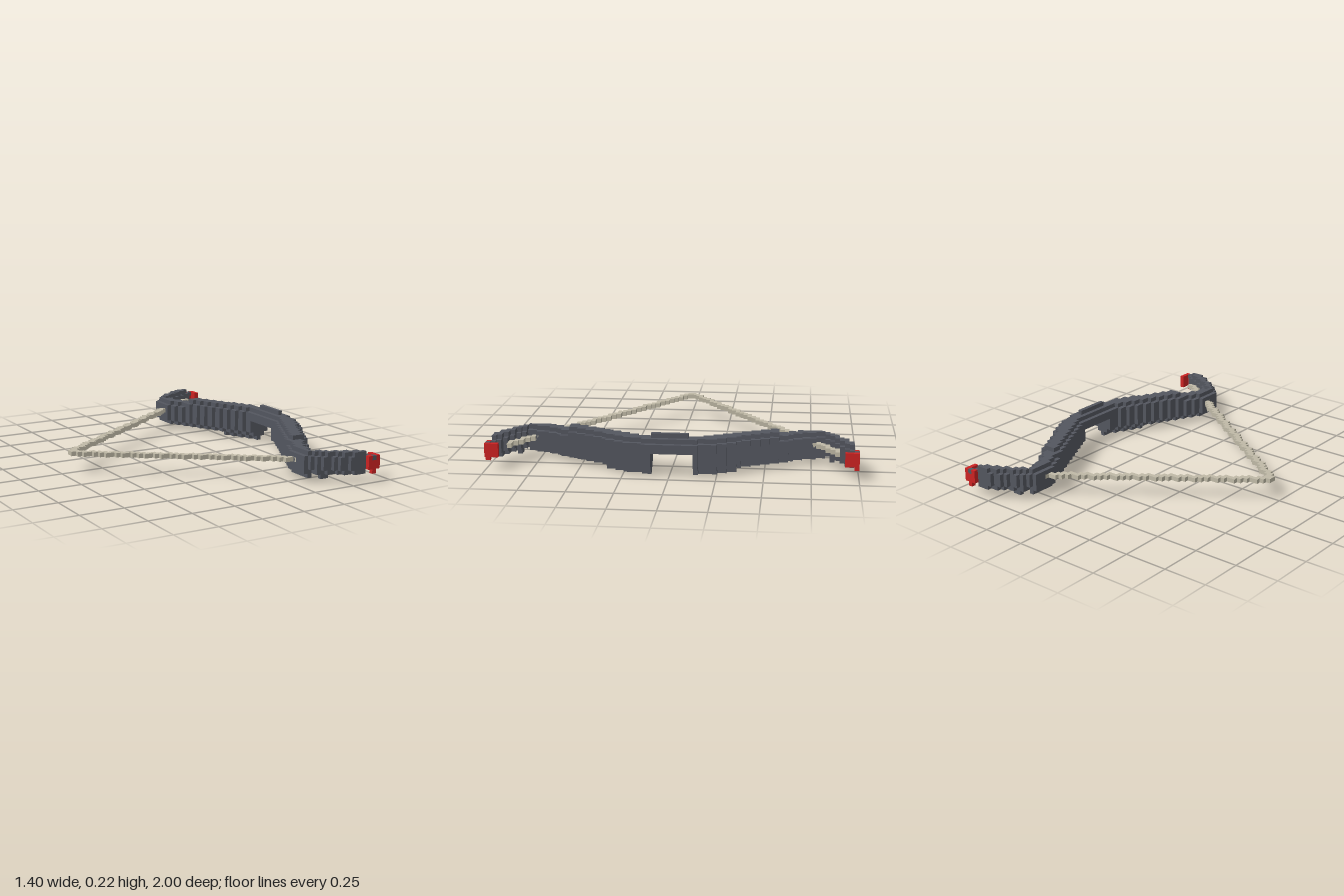
import * as THREE from 'three';
import { mergeGeometries } from 'three/addons/utils/BufferGeometryUtils.js';

const V = 0.025; // edge of one block

const paint = (name, color) => {
  const m = new THREE.MeshStandardMaterial({ color });
  m.name = name;
  return m;
};

// Box given by its corner ranges, counted in blocks
function block(x0, x1, y0, y1, z0, z1) {
  return new THREE.BoxGeometry((x1 - x0) * V, (y1 - y0) * V, (z1 - z0) * V)
    .translate((x0 + x1) * V / 2, (y0 + y1) * V / 2, (z0 + z1) * V / 2);
}

function part(name, boxes, material) {
  const mesh = new THREE.Mesh(mergeGeometries(boxes), material);
  mesh.name = name;
  return mesh;
}

// Limb outline seen from above: distance from the middle, inner x, outer x
const outline = [
  [0, 0.575, 0.7], [0.145, 0.575, 0.7], [0.155, 0.57, 0.675], [0.25, 0.525, 0.67],
  [0.4, 0.45, 0.575], [0.6, 0.35, 0.47], [0.7, 0.3, 0.415], [0.8, 0.3, 0.375],
  [0.85, 0.325, 0.425], [0.9, 0.4, 0.53], [0.95, 0.475, 0.62], [1, 0.56, 0.66],
];

function limbRange(z) {
  const i = Math.max(1, outline.findIndex((k) => k[0] >= z));
  const a = outline[i - 1], b = outline[i];
  const t = (z - a[0]) / (b[0] - a[0]);
  return [1, 2].map((c) => Math.round((a[c] + (b[c] - a[c]) * t) / V));
}

export function createModel() {
  const dark = paint('dark grey', 0x53565f);
  const cord = paint('pale cord', 0xbfb9a6);
  const red = paint('red', 0xcc2222);
  const model = new THREE.Group();
  model.name = 'bow';

  // Curved limbs and the raised grip, one rounded slice per block of length
  const limb = [], grip = [];
  for (let k = -39; k < 39; k++) {
    const i = k < 0 ? -1 - k : k;
    const z = (i + 0.5) * V;
    const [x0, x1] = limbRange(z);
    const top = i < 23 ? 8 : 7;
    if (k >= -5 && k < 4) {
      grip.push(block(x0, x1, 5, 7, k, k + 1), block(x0 + 1, x1 - 1, 5, 8, k, k + 1));
      continue;
    }
    const bottom = i < 33 || i === 34 ? 1 : 2;
    limb.push(block(x0, x1, bottom + 1, top - 1, k, k + 1));
    limb.push(block(x0 + 1, x1 - 1, bottom, top, k, k + 1));
    if (i < 14) limb.push(block(x0 + 2, x1 - 2, 0, 2, k, k + 1));
  }
  model.add(part('limbs', limb, dark));
  grip.push(block(25, 26, 8, 9, -4, 4));
  model.add(part('grip', grip, dark));

  // Drawn string: straight staircases from the nock to both limbs
  const string = [];
  const run = 50 / 36;
  for (let i = 0; i < 36; i++) {
    const x0 = Math.floor(-28 + i * run);
    const x1 = Math.floor(-28 + (i + 1) * run) + 1;
    string.push(block(x0, x1, 4, 5, i, i + 1), block(x0, x1, 4, 5, -1 - i, -i));
  }
  model.add(part('string', string, cord));

  // Red caps at both limb ends
  const tips = [], notches = [];
  for (const s of [1, -1]) {
    const add = (list, x0, x1, y0, y1, z0, z1) =>
      list.push(s > 0 ? block(x0, x1, y0, y1, z0, z1) : block(x0, x1, y0, y1, -z1, -z0));
    add(tips, 24, 27, 3, 5, 39, 40);
    add(tips, 24, 25, 5, 6, 39, 40);
    add(tips, 26, 27, 5, 6, 39, 40);
    add(tips, 25, 26, 2, 3, 39, 40);
    add(tips, 26, 27, 3, 6, 37, 39);
    add(notches, 25, 26, 5, 6, 39, 40);
  }
  model.add(part('tipCaps', tips, red));
  model.add(part('tipNotches', notches, dark));

  return model;
}
